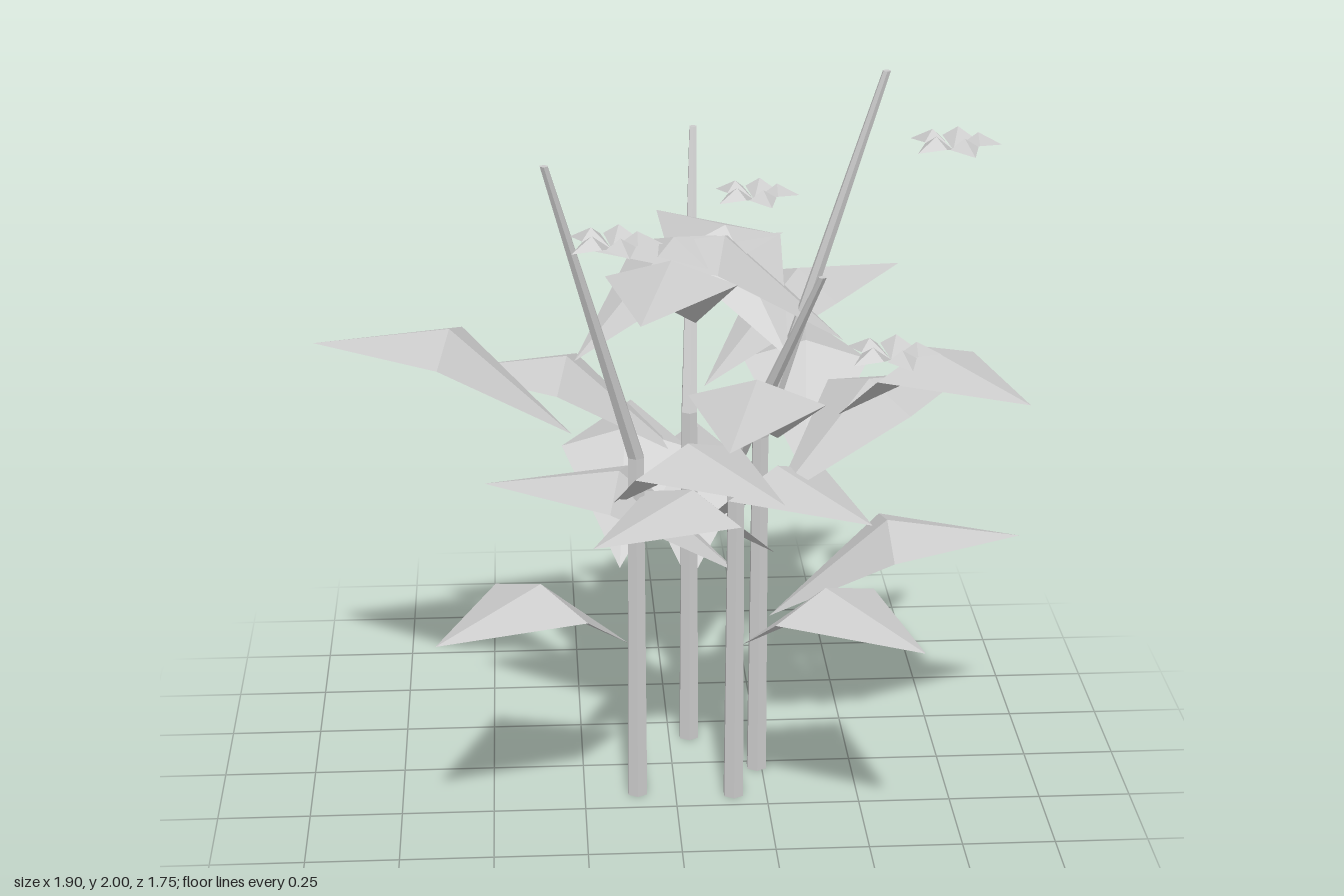
import * as THREE from 'three';

const GOLDEN = THREE.MathUtils.degToRad(137.5);
const stemMaterial = new THREE.MeshStandardMaterial({ color: 0xcccccc, flatShading: true });
const sheetMaterial = new THREE.MeshStandardMaterial({
  color: 0xcccccc, flatShading: true, side: THREE.DoubleSide,
});

// Folded blade along +x: base point, raised ridge, two side corners and a tip
function bladeGeometry({ start, mid, length, halfWidth, sideY, ridgeY, tipY }) {
  const base = [start, 0, 0], ridge = [mid, ridgeY, 0], tip = [length, tipY, 0];
  const left = [mid, sideY, -halfWidth], right = [mid, sideY, halfWidth];
  const faces = [base, ridge, left, base, right, ridge, ridge, tip, left, ridge, right, tip];
  const geometry = new THREE.BufferGeometry();
  geometry.setAttribute('position', new THREE.Float32BufferAttribute(faces.flat(), 3));
  geometry.computeVertexNormals();
  return geometry;
}

const leafGeometry = bladeGeometry({
  start: 0.03, mid: 0.35, length: 0.715, halfWidth: 0.175, sideY: 0.225, ridgeY: 0.28, tipY: 0.225,
});
const petalGeometry = bladeGeometry({
  start: 0, mid: 0.062, length: 0.125, halfWidth: 0.04, sideY: 0.02, ridgeY: 0.046, tipY: 0.012,
});

// Six-sided stem: upright to y = 1, then leaning outward along its angle
function makeStem(height, angle) {
  const geometry = new THREE.CylinderGeometry(1, 1, 2, 6, 2);
  const p = geometry.attributes.position;
  for (let i = 0; i < p.count; i++) {
    const ring = Math.round(p.getY(i)) + 1;
    const radius = [0.03, 0.024, 0.011][ring];
    const lean = [0, 0, 0.315][ring];
    p.setXYZ(i, p.getX(i) * radius + lean * Math.cos(angle), [0, 1, height][ring],
      p.getZ(i) * radius + lean * Math.sin(angle));
  }
  const stem = new THREE.Mesh(geometry.toNonIndexed(), stemMaterial);
  stem.geometry.computeVertexNormals();
  stem.name = 'stem';
  return stem;
}

function makeFlower() {
  const flower = new THREE.Group();
  flower.name = 'flower';
  for (let i = 0; i < 5; i++) {
    const petal = new THREE.Mesh(petalGeometry, sheetMaterial);
    petal.name = 'petal';
    petal.rotation.y = -i * Math.PI * 2 / 5;
    flower.add(petal);
  }
  return flower;
}

export function createModel() {
  const model = new THREE.Group();
  model.name = 'floweringPlant';

  for (let i = 0; i < 4; i++) {
    const angle = i * GOLDEN, c = Math.cos(angle), s = Math.sin(angle);
    const height = 2 - 0.14 * i;
    const plant = new THREE.Group();
    plant.name = 'stalk';
    plant.position.set(0.04 + 0.196 * c, 0, 0.03 + 0.196 * s);
    plant.add(makeStem(height, angle));

    // Leaves spiral up the stalk
    for (let j = 0; j < 5; j++) {
      const leaf = new THREE.Mesh(leafGeometry, sheetMaterial);
      leaf.name = 'leaf';
      leaf.position.set(0.0625 * j * c, 0.465 + 0.2 * j, 0);
      leaf.rotation.y = -(i + j) * GOLDEN;
      plant.add(leaf);
    }

    // Flower beside the stem tip
    const flower = makeFlower();
    flower.position.set(0.315 * c + 0.163, height - 0.184, 0.315 * s + 0.103);
    plant.add(flower);
    model.add(plant);
  }
  return model;
}
